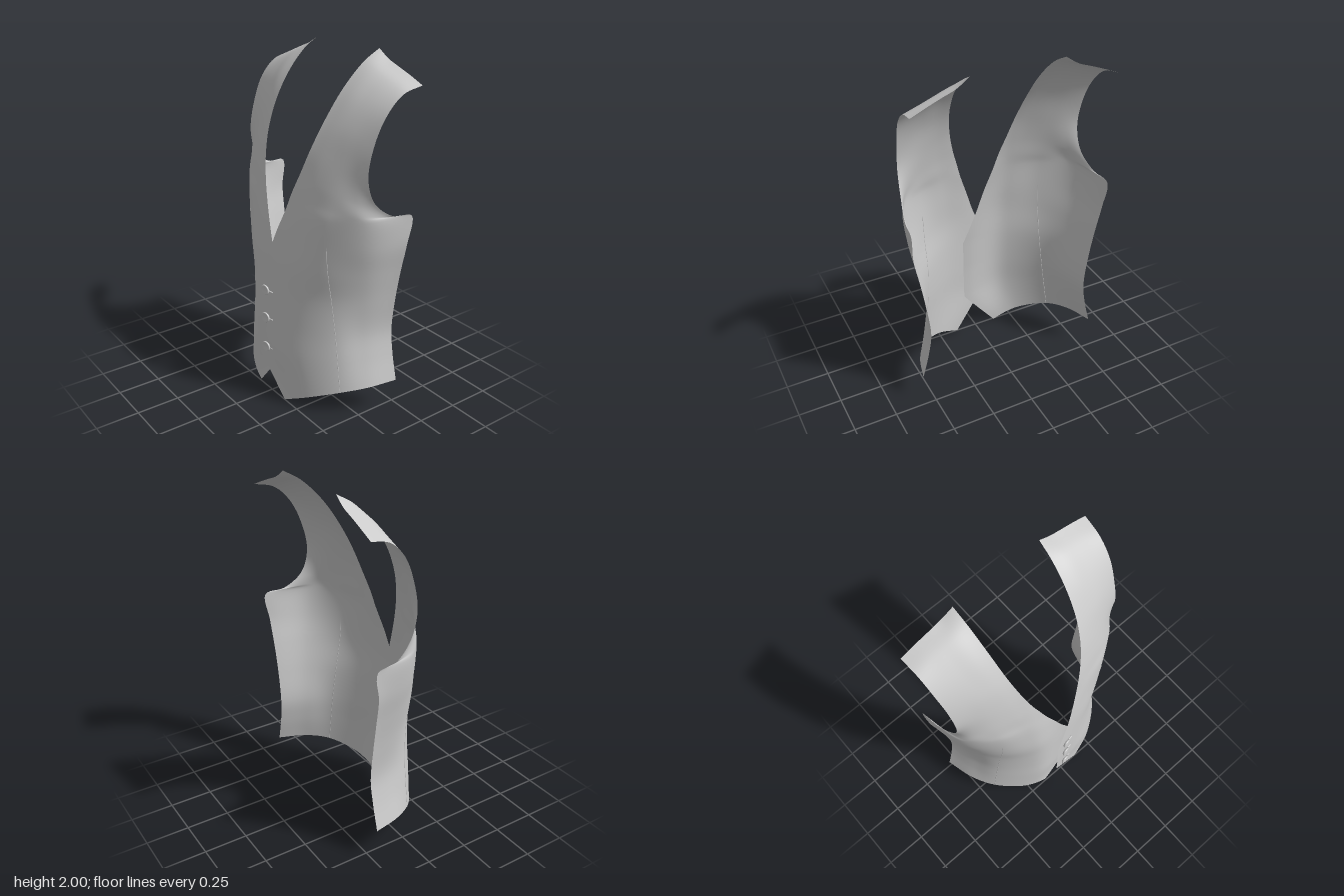
import * as THREE from 'three';

// Lengthwise guide lines of one front panel, hem to shoulder: x, y, z per point
const GUIDES = {
  frontEdge: [.13, 0, .25, -.08, .27, .287, -.08, .48, .29, -.08, .68, .287, 0, .88, .262, .05, 1.03, .24, .1, 1.17, .21,
    .13, 1.27, .19, .165, 1.38, .16, .2, 1.52, .115, .228, 1.67, .045, .245, 1.82, -.055, .255, 1.94, -.175, .26, 2, -.275],
  chest: [.28, .075, .2, .2, .3, .235, .19, .48, .23, .19, .68, .225, .2, .86, .222, .215, 1.02, .205, .235, 1.17, .185,
    .255, 1.25, .165, .28, 1.35, .14, .285, 1.5, .1, .305, 1.66, .035, .325, 1.81, -.06, .335, 1.915, -.175, .33, 1.955, -.28],
  dart: [.43, .14, .08, .405, .32, .08, .385, .48, .083, .37, .68, .1, .37, .86, .128, .37, 1.02, .14, .38, 1.17, .135,
    .39, 1.235, .12, .4, 1.32, .1, .375, 1.48, .075, .385, 1.645, .02, .405, 1.79, -.07, .415, 1.885, -.175, .41, 1.925, -.283],
  side: [.51, .165, -.05, .475, .33, -.06, .455, .48, -.06, .47, .68, -.05, .495, .86, -.03, .52, 1.02, -.01, .535, 1.18, 0,
    .51, 1.22, .035, .49, 1.29, .045, .46, 1.46, .045, .465, 1.63, 0, .485, 1.77, -.08, .49, 1.86, -.18, .49, 1.895, -.287],
  sideEdge: [.56, .18, -.22, .52, .34, -.222, .5, .48, -.225, .52, .68, -.225, .55, .86, -.228, .58, 1.02, -.235, .59, 1.185, -.25,
    .575, 1.205, -.13, .55, 1.29, -.025, .543, 1.43, .015, .548, 1.61, -.02, .56, 1.745, -.085, .567, 1.83, -.175, .575, 1.86, -.29],
};
const ROWS = 13, STEPS = 6, ACROSS = 32;

const guides = Object.values(GUIDES).map((n) => {
  const points = [];
  for (let i = 0; i < n.length; i += 3) points.push(new THREE.Vector3(n[i], n[i + 1], n[i + 2]));
  return { points, curve: new THREE.CatmullRomCurve3(points) };
});

// Crosswise curve at a row position; the front edge keeps its straight cuts below the neckline
function crossCurve(row) {
  return new THREE.CatmullRomCurve3(guides.map(({ points, curve }, g) => {
    const i = Math.floor(row);
    if (g === 0 && row < 4) return points[i].clone().lerp(points[i + 1], row - i);
    return curve.getPoint(row / ROWS);
  }));
}

// side = 1 is the overlapping left panel, -1 the right panel tucked behind it
function panelPoint(curve, u, side) {
  const p = curve.getPoint(u);
  if (side < 0) p.z -= 0.05 * (1 - THREE.MathUtils.smoothstep(p.x, -0.08, 0.2));
  p.x *= side;
  return p;
}

function panelGeometry(side) {
  const positions = [], index = [], width = ACROSS + 1;
  for (let j = 0; j <= ROWS * STEPS; j++) {
    const curve = crossCurve(j / STEPS);
    for (let i = 0; i <= ACROSS; i++) positions.push(...panelPoint(curve, i / ACROSS, side).toArray());
  }
  for (let j = 0; j < ROWS * STEPS; j++) {
    for (let i = 0; i < ACROSS; i++) {
      const a = j * width + i, b = a + 1, c = a + width, d = c + 1;
      if (side > 0) index.push(a, b, d, a, d, c);
      else index.push(a, d, b, a, c, d);
    }
  }
  const geometry = new THREE.BufferGeometry();
  geometry.setAttribute('position', new THREE.Float32BufferAttribute(positions, 3));
  geometry.setIndex(index);
  geometry.computeVertexNormals();
  return geometry;
}

export function createModel() {
  const model = new THREE.Group();
  model.name = 'waistcoatFront';
  const cloth = new THREE.MeshStandardMaterial({ color: 0xcccccc, side: THREE.DoubleSide });
  const solid = new THREE.MeshStandardMaterial({ color: 0xcccccc });
  const add = (parent, name, geometry, material) => {
    const mesh = new THREE.Mesh(geometry, material);
    mesh.name = name;
    parent.add(mesh);
    return mesh;
  };

  // Front panels with their dart seams
  for (const side of [1, -1]) {
    const label = side > 0 ? 'left' : 'right';
    add(model, label + 'Panel', panelGeometry(side), cloth);
    const seam = [];
    for (let row = 0; row <= 5; row += 0.5) seam.push(panelPoint(crossCurve(row), 0.5, side));
    add(model, label + 'DartSeam', new THREE.TubeGeometry(new THREE.CatmullRomCurve3(seam), 40, 0.002, 5), solid);
  }

  // Buttons: a dished disc with a raised rim, and the stitched buttonhole beside it
  const profile = [[0, -.008], [.024, -.008], [.03, -.002], [.03, .004], [.027, .007], [.022, .004], [0, .003]]
    .map(([x, y]) => new THREE.Vector2(x, y));
  for (const y of [0.305, 0.495, 0.67]) {
    const button = new THREE.Group();
    button.name = 'button';
    add(button, 'buttonDisc', new THREE.LatheGeometry(profile, 28), solid).rotation.x = Math.PI / 2;
    const stitch = add(button, 'buttonholeStitch', new THREE.CapsuleGeometry(0.005, 0.03, 4, 8), solid);
    stitch.rotation.z = Math.PI / 2;
    stitch.position.set(0.034, -0.004, -0.006);
    button.position.set(-0.005, y, 0.284);
    button.rotation.y = 0.2;
    model.add(button);
  }
  return model;
}
